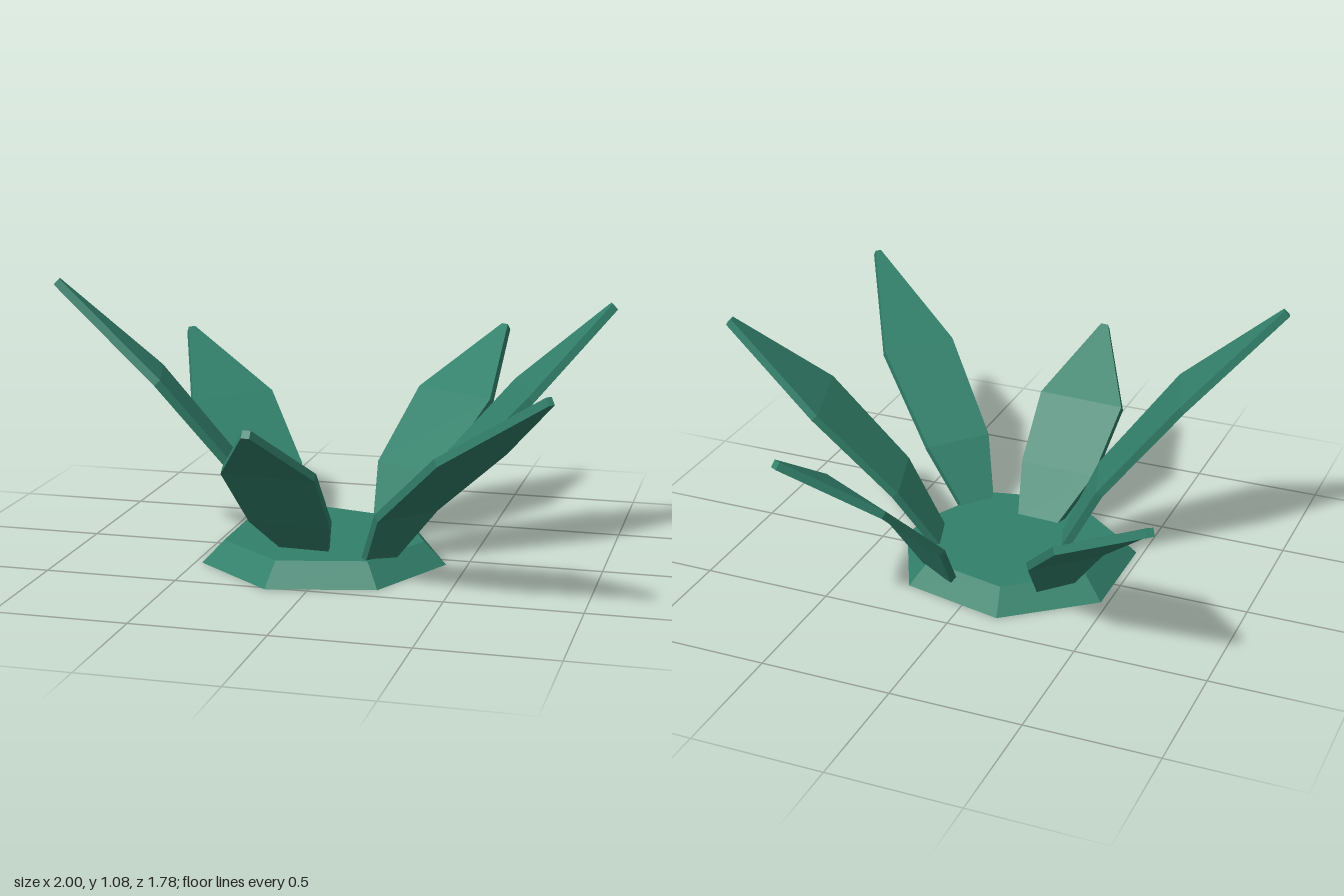
import * as THREE from 'three';

const UP = new THREE.Vector3(0, 1, 0);
const THICK = 0.03;

// A bent, tapering slab through four spine points with a width at each
function leafGeometry(spine, widths) {
  const pts = spine.map(p => new THREE.Vector3(...p));
  const side = pts[3].clone().sub(pts[0]).setY(0).normalize().cross(UP);
  const normals = pts.map((p, i) => {
    const along = pts[Math.min(i + 1, 3)].clone().sub(pts[Math.max(i - 1, 0)]).normalize();
    return side.clone().cross(along);
  });
  const geo = new THREE.BoxGeometry(1, 1, 1, 1, 3, 1);
  const pos = geo.attributes.position;
  for (let k = 0; k < pos.count; k++) {
    const i = Math.round((pos.getY(k) + 0.5) * 3);
    const v = pts[i].clone()
      .addScaledVector(side, pos.getX(k) * widths[i])
      .addScaledVector(normals[i], pos.getZ(k) * THICK);
    pos.setXYZ(k, v.x, v.y, v.z);
  }
  const flat = geo.toNonIndexed();
  flat.computeVertexNormals();
  return flat;
}

// Spine points from root to tip, and widths
const LEAVES = {
  frontLeaf: [[[-0.07, 0.06, 0.225], [-0.09, 0.225, 0.4], [-0.115, 0.45, 0.59], [-0.105, 0.66, 0.88]], [0.16, 0.31, 0.35, 0.03]],
  frontLeftLeaf: [[[0.205, 0.06, 0.27], [0.335, 0.28, 0.37], [0.61, 0.56, 0.6], [0.92, 0.83, 0.875]], [0.135, 0.27, 0.305, 0.025]],
  leftLeaf: [[[0.23, 0.06, -0.03], [0.385, 0.32, -0.065], [0.67, 0.64, -0.14], [0.985, 0.955, -0.26]], [0.155, 0.3, 0.355, 0.03]],
  backLeftLeaf: [[[0.13, 0.06, -0.26], [0.185, 0.25, -0.355], [0.32, 0.51, -0.59], [0.47, 0.745, -0.88]], [0.155, 0.315, 0.37, 0.03]],
  backRightLeaf: [[[-0.3, 0.06, -0.19], [-0.375, 0.235, -0.275], [-0.59, 0.47, -0.495], [-0.85, 0.695, -0.755]], [0.145, 0.3, 0.36, 0.03]],
  rightLeaf: [[[-0.22, 0.06, 0.12], [-0.35, 0.345, 0.17], [-0.63, 0.715, 0.27], [-0.985, 1.065, 0.36]], [0.13, 0.255, 0.3, 0.025]],
};

export function createModel() {
  const group = new THREE.Group();
  group.name = 'leafyPlant';
  const green = new THREE.MeshStandardMaterial({ color: 0x32806a, flatShading: true });
  green.name = 'leaf green';

  // Seven-sided root mound
  const mound = new THREE.Mesh(new THREE.CylinderGeometry(0.385, 0.47, 0.085, 7), green);
  mound.name = 'rootMound';
  mound.rotation.y = Math.PI / 2;
  mound.position.set(-0.05, 0.0425, 0.06);
  group.add(mound);

  // Ring of leaves
  for (const [name, [spine, widths]] of Object.entries(LEAVES)) {
    const leaf = new THREE.Mesh(leafGeometry(spine, widths), green);
    leaf.name = name;
    group.add(leaf);
  }
  return group;
}
